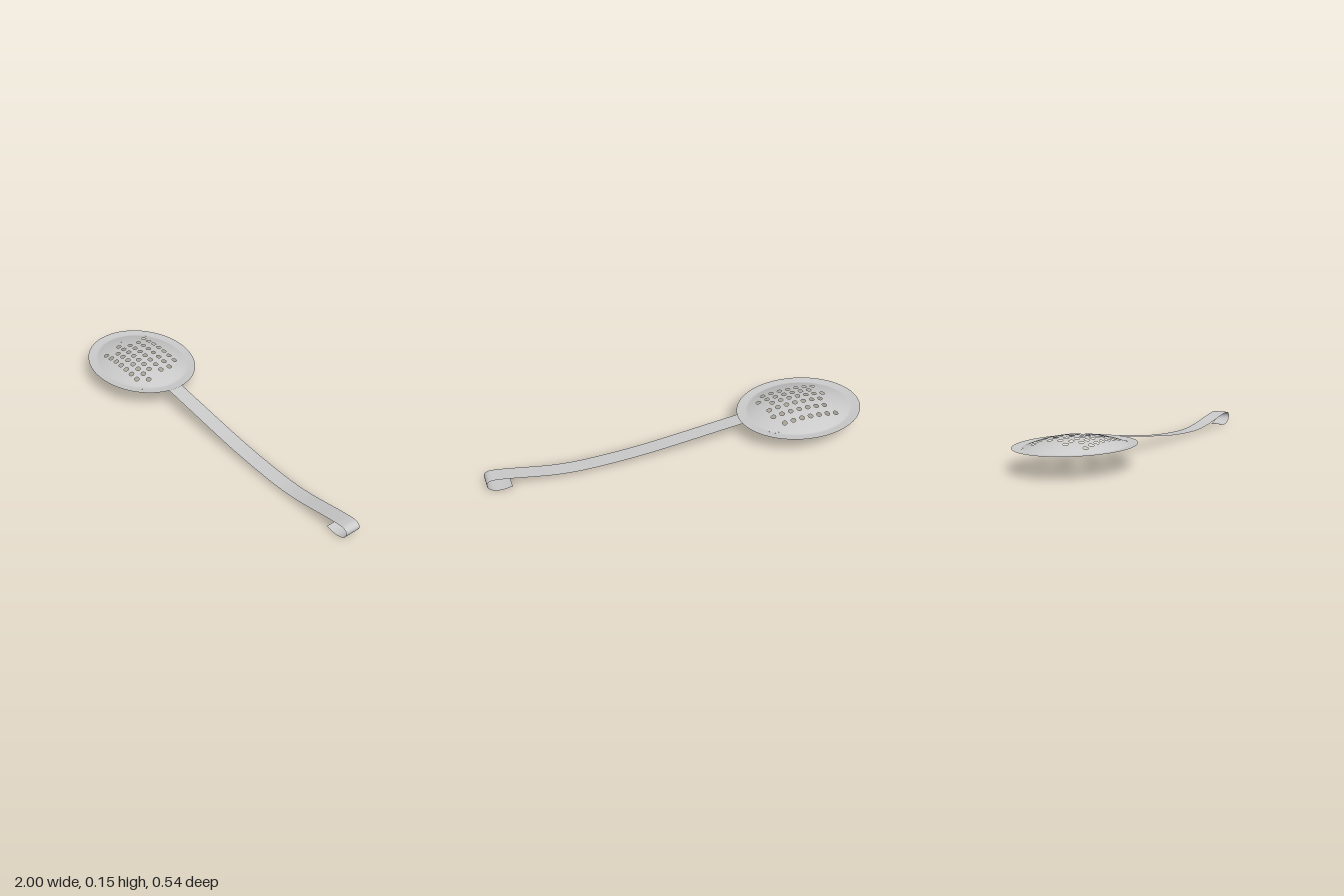
import * as THREE from 'three';

const CX = -0.666, RX = 0.334, RZ = 0.27; // bowl centre and radii
const HOLE = 0.0125, PITCH = 0.048;

// Bowl height: a shallow dome blending into a slightly raised rim
function height(x, z) {
  const r = Math.hypot((x - CX) / RX, z / RZ);
  const dome = 0.152 - 0.048 * (r / 0.84) ** 2;
  const rim = 0.103 + 0.005 * (r - 0.8) / 0.2;
  return 0.5 * (dome + rim + Math.hypot(dome - rim, 0.002));
}

// Points round a rectangle, n per side, corners included
function boxLoop(x0, x1, z0, z1, n) {
  const corners = [[x0, z0], [x1, z0], [x1, z1], [x0, z1]];
  const loop = [];
  corners.forEach((a, i) => {
    const b = corners[(i + 1) % 4];
    for (let k = 0; k < n; k++) {
      loop.push([a[0] + (b[0] - a[0]) * k / n, a[1] + (b[1] - a[1]) * k / n]);
    }
  });
  return loop;
}

// Pushes points onto an ellipse along their direction from its centre
function ellipseLoop(loop, cx, cz, rx, rz, sx = rx, sz = rz) {
  return loop.map(([x, z]) => {
    const u = (x - cx) / sx, v = (z - cz) / sz, l = Math.hypot(u, v);
    return [cx + rx * u / l, cz + rz * v / l];
  });
}

function bowlGeometry() {
  const pos = [], nor = [];
  const vertex = ([x, z]) => {
    const e = 1e-4;
    const n = new THREE.Vector3(
      (height(x - e, z) - height(x + e, z)) / (2 * e), 1,
      (height(x, z - e) - height(x, z + e)) / (2 * e)).normalize();
    pos.push(x, height(x, z), z);
    nor.push(n.x, n.y, n.z);
  };
  const tri = (a, b, c) => { // always wound to face up
    const area = (b[0] - a[0]) * (c[1] - a[1]) - (b[1] - a[1]) * (c[0] - a[0]);
    (area < 0 ? [a, b, c] : [a, c, b]).forEach(vertex);
  };
  const quad = (a, b, c, d) => { tri(a, b, c); tri(a, c, d); };
  const ring = (inner, outer, steps) => {
    const at = (i, t) => inner[i].map((v, k) => v + (outer[i][k] - v) * t);
    for (let i = 0; i < inner.length; i++) {
      const j = (i + 1) % inner.length;
      for (let s = 0; s < steps; s++) {
        quad(at(i, s / steps), at(j, s / steps), at(j, (s + 1) / steps), at(i, (s + 1) / steps));
      }
    }
  };
  const plain = (x0, x1, z0, z1, nx, nz) => {
    for (let i = 0; i < nx; i++) for (let j = 0; j < nz; j++) {
      const xa = x0 + (x1 - x0) * i / nx, xb = x0 + (x1 - x0) * (i + 1) / nx;
      const za = z0 + (z1 - z0) * j / nz, zb = z0 + (z1 - z0) * (j + 1) / nz;
      quad([xa, za], [xb, za], [xb, zb], [xa, zb]);
    }
  };

  // Perforated centre: six staggered rows of seven holes [first x, z]
  const rows = [[-0.82, -0.126], [-0.783, -0.064], [-0.783, -0.008],
    [-0.82, 0.043], [-0.762, 0.088], [-0.805, 0.136]];
  const left = -0.86, right = -0.44, front = 0.165;
  rows.forEach(([hx, hz], r) => {
    const z0 = r ? (rows[r - 1][1] + hz) / 2 : -front;
    const z1 = r < 5 ? (rows[r + 1][1] + hz) / 2 : front;
    const start = hx - PITCH / 2, end = start + 7 * PITCH;
    plain(left, start, z0, z1, 4, 4);
    plain(end, right, z0, z1, 4, 4);
    for (let i = 0; i < 7; i++) {
      const x0 = start + i * PITCH;
      const cell = boxLoop(x0, x0 + PITCH, z0, z1, 4);
      const hole = ellipseLoop(cell, x0 + PITCH / 2, hz, HOLE, HOLE, PITCH, z1 - z0);
      ring(hole, cell, 2);
    }
  });

  // Outer dome and rim
  const patch = boxLoop(left, right, -front, front, 32);
  ring(patch, ellipseLoop(patch, CX, 0, RX, RZ), 24);

  const g = new THREE.BufferGeometry();
  g.setAttribute('position', new THREE.Float32BufferAttribute(pos, 3));
  g.setAttribute('normal', new THREE.Float32BufferAttribute(nor, 3));
  return g;
}

// Flat strip swept along a side profile that ends in a hook
function handleGeometry() {
  const profile = [[-0.345, 0.104], [-0.2, 0.085], [0, 0.058], [0.2, 0.034],
    [0.4, 0.02], [0.55, 0.017], [0.67, 0.026], [0.78, 0.043], [0.88, 0.06],
    [0.95, 0.069], [0.98, 0.068], [0.997, 0.055], [0.998, 0.035],
    [0.98, 0.013], [0.95, 0.002], [0.915, 0.001], [0.875, 0.009]];
  const curve = new THREE.CatmullRomCurve3(
    profile.map(([x, y]) => new THREE.Vector3(x, y, 0)), false, 'centripetal');
  const g = new THREE.PlaneGeometry(1, 0.083, 160, 1).rotateX(-Math.PI / 2);
  const p = g.attributes.position;
  for (let i = 0; i < p.count; i++) {
    const c = curve.getPointAt(THREE.MathUtils.clamp(p.getX(i) + 0.5, 0, 1));
    p.setXYZ(i, c.x, c.y, p.getZ(i) + 0.0085);
  }
  g.computeVertexNormals();
  return g;
}

export function createModel() {
  const group = new THREE.Group();
  group.name = 'skimmer';
  const material = new THREE.MeshStandardMaterial({ color: 0xcccccc, side: THREE.DoubleSide });
  const add = (name, geometry) => {
    const mesh = new THREE.Mesh(geometry, material);
    mesh.name = name;
    group.add(mesh);
  };
  add('perforatedBowl', bowlGeometry());
  add('hookedHandle', handleGeometry());
  return group;
}
